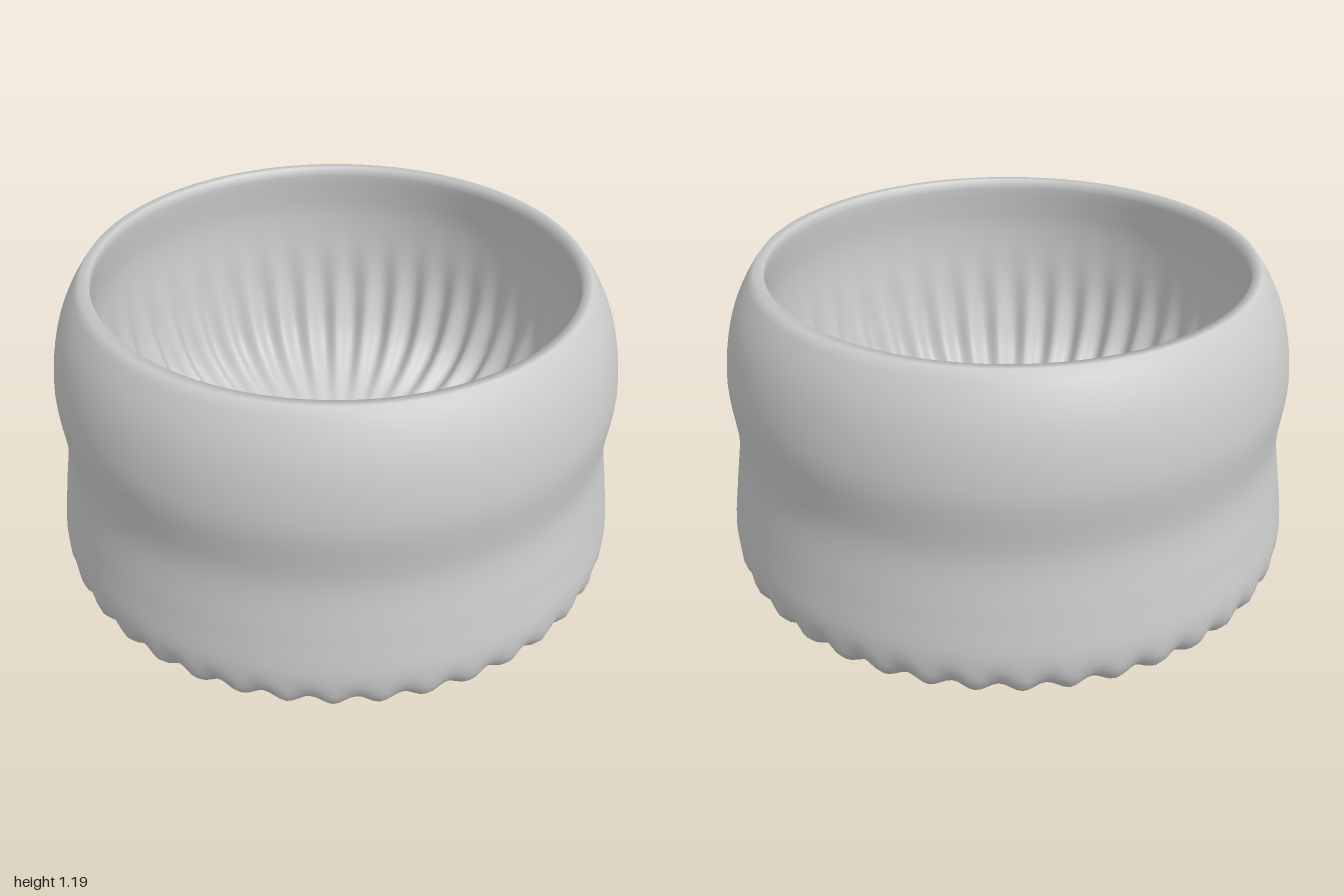
import * as THREE from 'three';
import { mergeVertices } from 'three/addons/utils/BufferGeometryUtils.js';

const FLUTES = 40;
const SEGMENTS = FLUTES * 8;
const STEPS = 100;

// Closed-section profile: radius, height, flute depth
const PROFILE = [
  // underside
  [0, 0.005, 0], [0.3, 0.018, 0], [0.6, 0.04, 0.002], [0.8, 0.065, 0.007], [0.92, 0.1, 0.012], [0.978, 0.15, 0.01],
  // outer wall
  [1, 0.23, 0], [0.982, 0.4, 0], [0.957, 0.6, 0], [0.975, 0.84, 0], [0.937, 1.04, 0], [0.87, 1.17, 0],
  // rounded rim
  [0.845, 1.197, 0], [0.822, 1.192, 0],
  // inner wall and floor
  [0.825, 1.12, 0], [0.836, 1.0, 0], [0.825, 0.84, 0.002], [0.79, 0.65, 0.014], [0.72, 0.5, 0.02],
  [0.6, 0.41, 0.012], [0.45, 0.37, 0.003], [0.25, 0.35, 0], [0, 0.345, 0],
];

function createBowlGeometry() {
  const curve = new THREE.CatmullRomCurve3(PROFILE.map((p) => new THREE.Vector3(...p)));
  const section = curve.getSpacedPoints(STEPS);
  const points = section.map((p) => new THREE.Vector2(Math.max(p.x, 0), p.y));
  const geometry = new THREE.LatheGeometry(points, SEGMENTS);

  // Press shallow radial flutes along the surface normal
  const pos = geometry.attributes.position;
  const normal = geometry.attributes.normal;
  for (let i = 0; i <= SEGMENTS; i++) {
    const wave = Math.cos((i / SEGMENTS) * FLUTES * Math.PI * 2);
    for (let j = 0; j <= STEPS; j++) {
      const k = i * (STEPS + 1) + j;
      const d = Math.max(section[j].z, 0) * wave;
      pos.setXYZ(k,
        pos.getX(k) + normal.getX(k) * d,
        pos.getY(k) + normal.getY(k) * d,
        pos.getZ(k) + normal.getZ(k) * d);
    }
  }

  // Weld the seam and smooth
  geometry.deleteAttribute('uv');
  geometry.deleteAttribute('normal');
  const welded = mergeVertices(geometry, 1e-5);
  welded.computeVertexNormals();
  return welded;
}

export function createModel() {
  const group = new THREE.Group();
  group.name = 'flutedBowl';
  const bowl = new THREE.Mesh(
    createBowlGeometry(),
    new THREE.MeshStandardMaterial({ color: 0xcccccc }),
  );
  bowl.name = 'bowl';
  group.add(bowl);
  return group;
}
